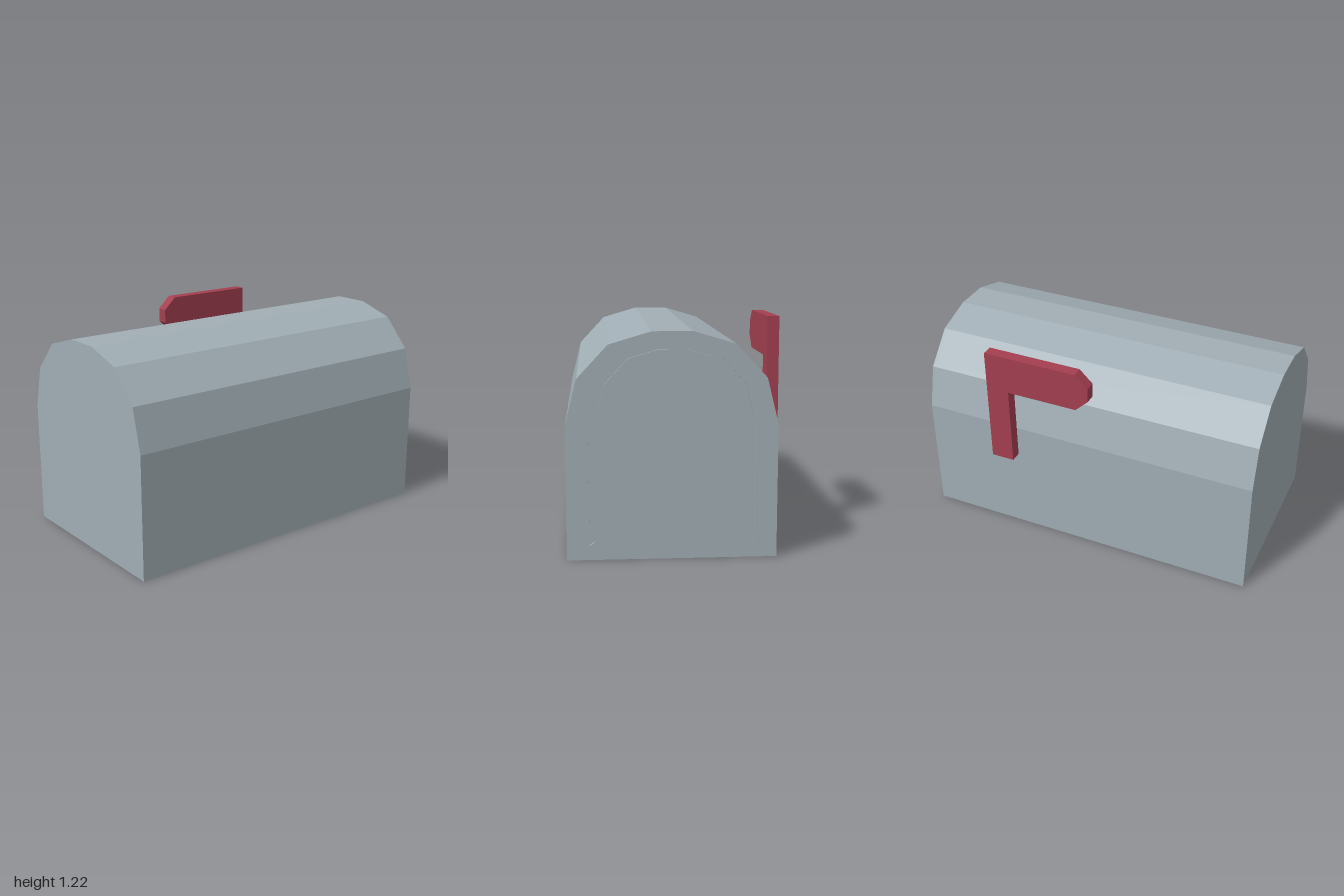
import * as THREE from 'three';

const steel = new THREE.MeshStandardMaterial({ color: 0xa1aeb5, flatShading: true });
steel.name = 'steelGrey';
const red = new THREE.MeshStandardMaterial({ color: 0xa33f50, flatShading: true });
red.name = 'flagRed';

const GROOVE_DEPTH = 0.015;
const CENTRE_Z = 0.04;

const toPoints = (list) => list.map(([x, y]) => new THREE.Vector2(x, y));

// right half of an arch, from the foot to the crown, mirrored to both sides
const mirrorArch = (half) => [...half, ...half.map(([x, y]) => [-x, y]).reverse()];

const extrude = (shape, depth) =>
  new THREE.ExtrudeGeometry(shape, { depth, bevelEnabled: false });

export function createModel() {
  const model = new THREE.Group();
  model.name = 'mailbox';

  const add = (name, geometry, material) => {
    const mesh = new THREE.Mesh(geometry, material);
    mesh.name = name;
    model.add(mesh);
  };

  // an arch section laid along x between two positions
  const alongX = (shape, x0, x1) =>
    extrude(shape, x1 - x0).rotateY(Math.PI / 2).translate(x0, 0, CENTRE_Z);

  // arched body
  const archOutline = toPoints(mirrorArch([
    [0.545, 0], [0.545, 0.7], [0.485, 0.94], [0.324, 1.113], [0.105, 1.178],
  ]));
  add('body', alongX(new THREE.Shape(archOutline), -1, 1 - GROOVE_DEPTH), steel);

  // end plate with the door outline cut into it
  const outer = mirrorArch([
    [0.427, 0.075], [0.427, 0.7], [0.374, 0.915], [0.241, 1.06], [0.081, 1.105],
  ]);
  const inner = mirrorArch([
    [0.399, 0.095], [0.399, 0.7], [0.346, 0.91], [0.223, 1.042], [0.076, 1.085],
  ]);
  const endShape = new THREE.Shape(archOutline);
  endShape.holes.push(new THREE.Path(toPoints([...outer, ...inner.reverse()])));
  add('doorEnd', alongX(endShape, 1 - GROOVE_DEPTH, 1), steel);

  // signal flag: post with a pointed arm, standing just behind the body
  const flagShape = new THREE.Shape(toPoints([
    [0.55, 0.525], [0.55, 1.22], [0, 1.22], [-0.075, 1.148],
    [-0.075, 1.067], [0, 0.995], [0.415, 0.995], [0.415, 0.525],
  ]));
  add('flag', extrude(flagShape, 0.065).translate(0, 0, -0.583), red);

  return model;
}
